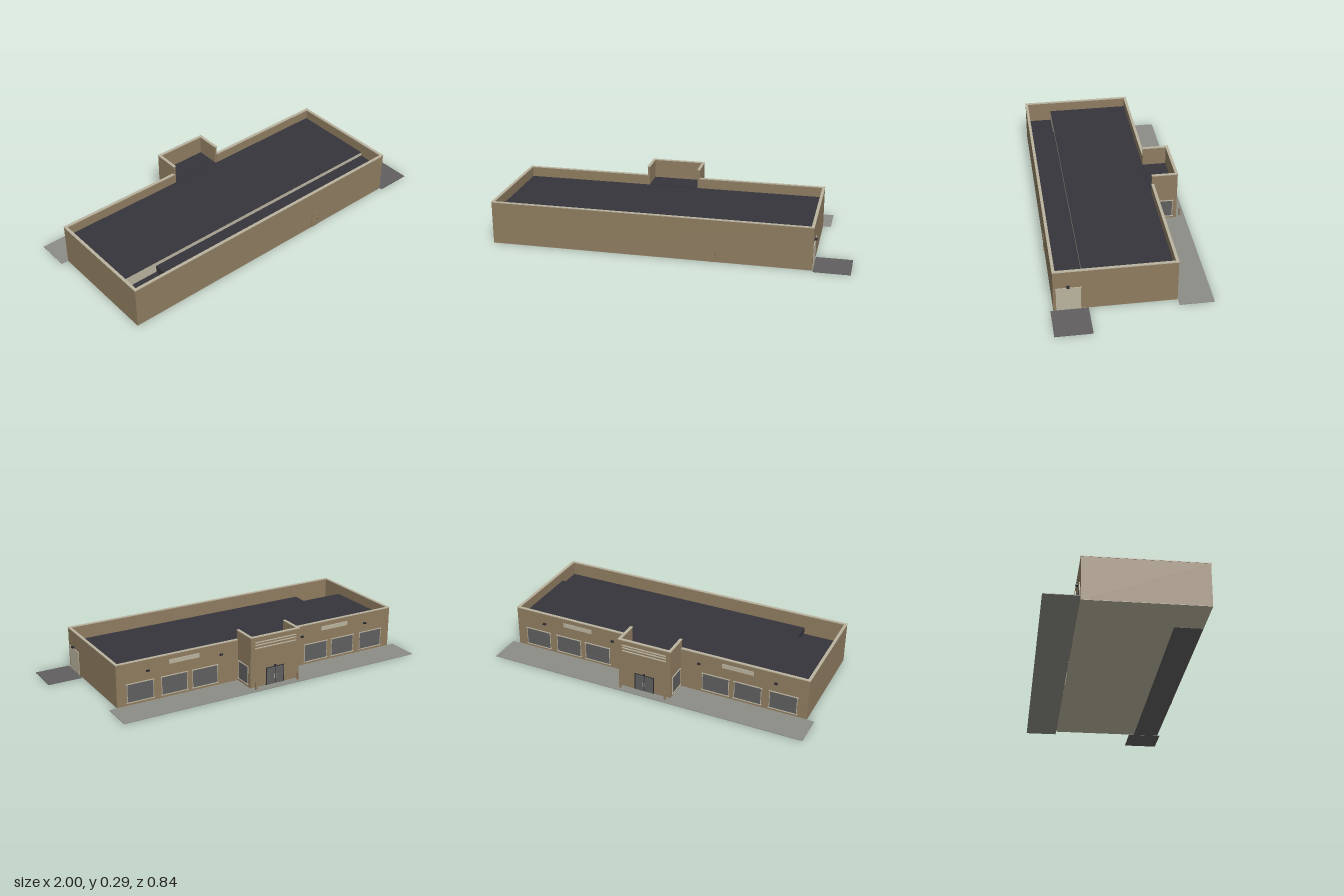
import * as THREE from 'three';

const mat = (name, color) => Object.assign(new THREE.MeshStandardMaterial({ color }), { name });

export function createModel() {
  const brick = mat('tan brick', 0x8f7c60);
  const beige = mat('beige trim', 0xbab39f);
  const roofing = mat('dark roofing', 0x36343c);
  const concrete = mat('pavement grey', 0x8d8c86);
  const asphalt = mat('asphalt grey', 0x605e5e);
  const glass = mat('smoked glass', 0x605f60);
  const metal = mat('dark metal', 0x2b2a30);

  const model = new THREE.Group();

  // Box given by its limits along each axis
  function block(name, material, [x0, x1], [y0, y1], [z0, z1], parent = model) {
    const mesh = new THREE.Mesh(new THREE.BoxGeometry(x1 - x0, y1 - y0, z1 - z0), material);
    mesh.position.set((x0 + x1) / 2, (y0 + y1) / 2, (z0 + z1) / 2);
    mesh.name = name;
    parent.add(mesh);
    return mesh;
  }

  // Main dimensions
  const W = -0.96, E = 0.8, N = -0.24, S = 0.4;
  const TW = -0.235, TE = 0.075, TN = -0.375;
  const mid = (TW + TE) / 2, t = 0.012, base = 0.002;

  // Ground slabs
  block('buildingFloor', beige, [W, E], [0.0005, base], [N, S]);
  block('loadingLaneFloor', asphalt, [-0.72, E], [0, 0.0015], [0.25, S - 0.001]);
  block('loadingPad', asphalt, [0.803, 1], [0, 0.003], [0.22, 0.415]);
  block('sidewalk', concrete, [-1, 0.845], [0, 0.003], [-0.425, -0.243]);

  // Brick wall with a slightly overhanging coping
  function wall(name, xs, zs, height) {
    block(name, brick, xs, [base, height - 0.004], zs);
    const o = 0.002;
    block(name + 'Coping', beige, [xs[0] - o, xs[1] + o], [height - 0.004, height], [zs[0] - o, zs[1] + o]);
  }
  const H = 0.242, TH = 0.295;
  wall('frontWall', [W, E], [S - t, S], H);
  wall('rightWall', [W, W + t], [N + t, S - t], H);
  wall('leftWall', [E - t, E], [N + t, S - t], H);
  wall('backWallRight', [W, TW], [N, N + t], H);
  wall('backWallLeft', [TE, E], [N, N + t], H);
  wall('entranceBackWall', [TW, TE], [TN, TN + t], TH);
  wall('entranceRightWall', [TW, TW + t], [TN + t, -0.23], TH);
  wall('entranceLeftWall', [TE - t, TE], [TN + t, -0.23], TH);

  // Stepped roofs; the main slab has a pale edge
  const slab = [beige, beige, roofing, beige, beige, beige];
  block('mainRoof', slab, [W + t, E - t], [0.1, 0.182], [N + t, 0.245]);
  block('loadingRoof', roofing, [-0.72, E - t], [0.1, 0.16], [0.245, S - t]);
  block('cornerRoof', roofing, [W + t, -0.72], [0.09, 0.12], [0.245, S - t]);
  block('entranceRoof', roofing, [TW + t, TE - t], [0.17, 0.185], [TN + t, N + t]);

  // Window facing +z, centred on its own origin, with frame, lintel and sill
  function makeWindow(name, width) {
    const g = new THREE.Group();
    g.name = name;
    const w = width / 2, y0 = 0.02, y1 = 0.12, f = 0.003;
    block('pane', glass, [-w, w], [y0, y1], [0, 0.002], g);
    for (const s of [-1, 1]) {
      block('jamb', beige, [s * w - f / 2, s * w + f / 2], [y0, y1], [0, 0.004], g);
    }
    block('lintel', beige, [-w - 0.006, w + 0.006], [y1, y1 + 0.004], [0, 0.005], g);
    block('sill', beige, [-w - 0.006, w + 0.006], [y0 - 0.004, y0], [0, 0.006], g);
    model.add(g);
    return g;
  }

  // Details mirrored about the entrance axis
  for (const s of [-1, 1]) {
    for (const d of [0.36, 0.545, 0.745]) {
      const win = makeWindow('wingWindow', 0.152);
      win.position.set(mid + s * d, 0, N);
      win.rotation.y = Math.PI;
    }
    const side = makeWindow('entranceSideWindow', 0.094);
    side.position.set(s > 0 ? TE : TW, 0, -0.302);
    side.rotation.y = s * Math.PI / 2;

    for (const d of [0.262, 0.7]) {
      const x = mid + s * d;
      block('wallLamp', metal, [x - 0.009, x + 0.009], [0.173, 0.181], [N - 0.011, N]);
    }
    const p = mid + s * 0.485;
    block('wingSignPanel', beige, [p - 0.09, p + 0.09], [0.188, 0.212], [N - 0.004, N]);

    const b = mid + s * 0.134;
    block('bollard', brick, [b - 0.005, b + 0.005], [0.003, 0.045], [-0.404, -0.395]);
  }

  // Entrance doors: two leaves in a dark frame, with handles
  block('doorFrame', metal, [mid - 0.058, mid + 0.058], [0.003, 0.104], [TN - 0.002, TN]);
  for (const s of [-1, 1]) {
    const c = mid + s * 0.027;
    block('doorLeaf', glass, [c - 0.025, c + 0.025], [0.005, 0.1], [TN - 0.004, TN - 0.001]);
    const h = mid + s * 0.006;
    block('doorHandle', beige, [h - 0.001, h + 0.001], [0.035, 0.06], [TN - 0.007, TN - 0.004]);
  }
  block('doorLamp', metal, [mid - 0.006, mid + 0.006], [0.105, 0.113], [TN - 0.004, TN]);

  // Plain sign rails over the entrance
  for (const y of [0.228, 0.246, 0.261]) {
    block('signRail', beige, [mid - 0.13, mid + 0.13], [y, y + 0.004], [TN - 0.007, TN]);
  }

  // Loading door with lintel and lamp
  block('loadingDoor', beige, [E, E + 0.003], [0.003, 0.136], [0.258, 0.385]);
  block('loadingDoorLintel', beige, [E, E + 0.005], [0.136, 0.14], [0.255, 0.388]);
  block('loadingLamp', metal, [E, E + 0.014], [0.143, 0.153], [0.315, 0.331]);

  // Service door on the front
  block('serviceDoor', brick, [0.245, 0.29], [base, 0.092], [S, S + 0.003]);
  block('serviceDoorHandle', metal, [0.284, 0.287], [0.043, 0.046], [S + 0.003, S + 0.005]);

  return model;
}
